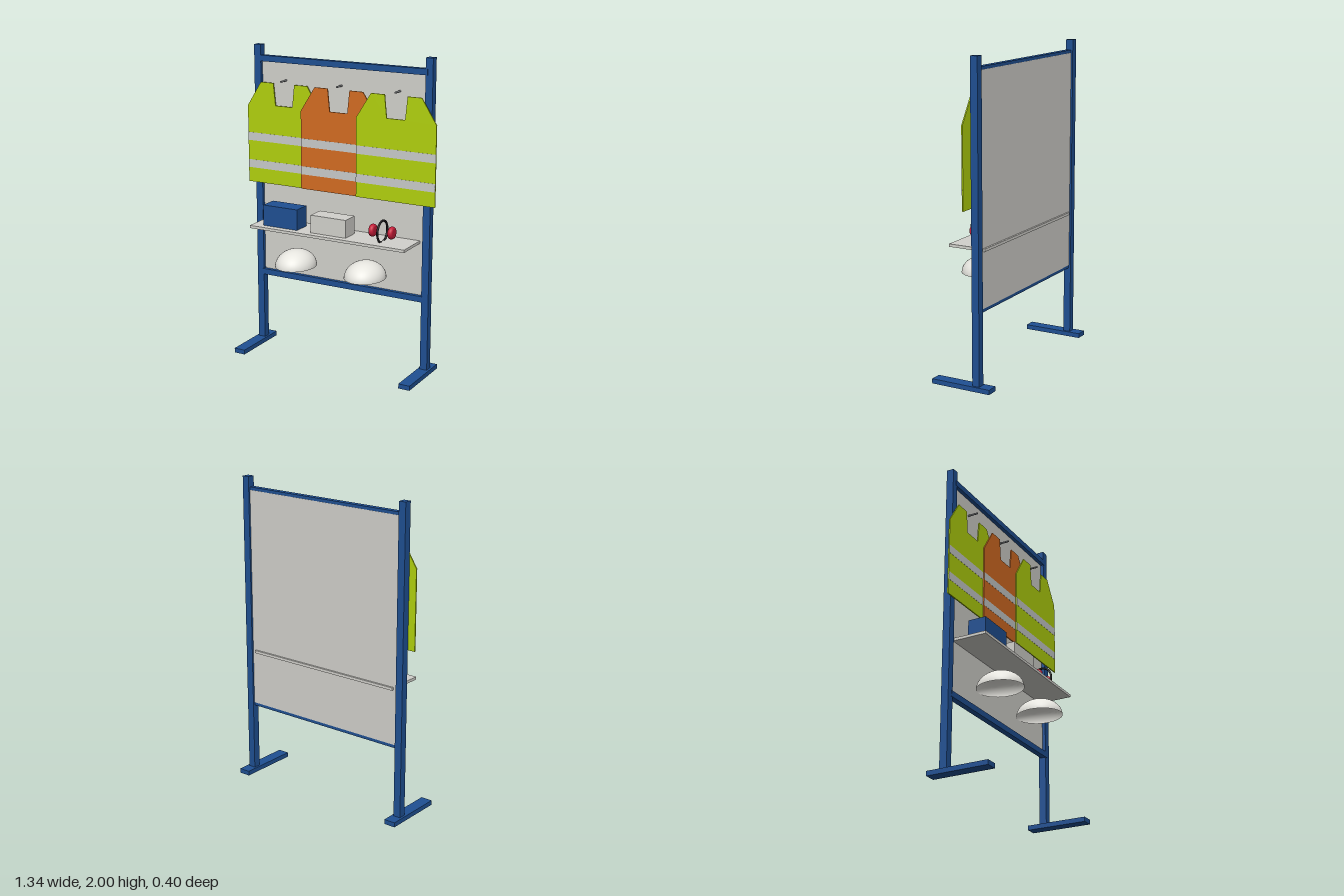
import * as THREE from 'three';

function material(name, color, side = THREE.FrontSide) {
  const m = new THREE.MeshStandardMaterial({ color, side });
  m.name = name;
  return m;
}

export function createModel() {
  const root = new THREE.Group();
  root.name = 'safetyStation';

  const blue = material('frame blue', 0x1f5093);
  const grey = material('panel grey', 0xd2d1cc);
  const white = material('helmet white', 0xe8e7e1, THREE.DoubleSide);
  const lime = material('vest lime', 0xb2d20e);
  const orange = material('vest orange', 0xd46c22);
  const silver = material('reflective silver', 0xc9cbca);
  const metal = material('peg metal', 0x8c8f92);
  const red = material('ear cup red', 0xc41c38);
  const black = material('headband black', 0x18181a);

  const add = (name, geometry, mat, x = 0, y = 0, z = 0, parent = root) => {
    const mesh = new THREE.Mesh(geometry, mat);
    mesh.name = name;
    mesh.position.set(x, y, z);
    parent.add(mesh);
    return mesh;
  };
  const box = (name, mat, w, h, d, x, y, z, parent) =>
    add(name, new THREE.BoxGeometry(w, h, d), mat, x, y, z, parent);

  // Frame: posts on long feet, joined by two rails
  for (const [label, s] of [['left', 1], ['right', -1]]) {
    box(label + 'Post', blue, 0.048, 2, 0.048, s * 0.6, 1, -0.1);
    box(label + 'Foot', blue, 0.076, 0.03, 0.4, s * 0.6, 0.015, 0);
  }
  box('topRail', blue, 1.18, 0.038, 0.038, 0, 1.915, -0.092);
  box('bottomRail', blue, 1.18, 0.038, 0.038, 0, 0.494, -0.092);

  // Back panel and the shelf that passes through it
  box('backPanel', grey, 1.16, 1.42, 0.015, 0, 1.205, -0.105);
  box('shelf', grey, 1.1, 0.018, 0.25, 0, 0.856, 0);

  // Vests hung in overlapping layers, each with its peg
  const half = [[0.062, 1.62], [0.077, 1.764], [0.17, 1.764], [0.27, 1.607], [0.27, 1.104]];
  const outline = [...half, ...half.map(([x, y]) => [-x, y]).reverse()];
  const vestShape = new THREE.Shape(outline.map(([x, y]) => new THREE.Vector2(x, y)));
  const vestDepth = 0.008;
  const vestGeometry = new THREE.ExtrudeGeometry(vestShape, { depth: vestDepth, bevelEnabled: false });
  vestGeometry.translate(0, 0, -vestDepth / 2);
  [['right', lime], ['middle', orange], ['left', lime]].forEach(([label, mat], i) => {
    const vest = new THREE.Group();
    vest.name = label + 'Vest';
    vest.position.set((i - 1) * 0.4, 0, -0.067 + i * 0.01);
    root.add(vest);
    add('vestBody', vestGeometry, mat, 0, 0, 0, vest);
    for (const y of [1.405, 1.225])
      box('reflectiveStripe', silver, 0.54, 0.053, 0.001, 0, y, vestDepth / 2 + 0.0006, vest);
    const peg = add(label + 'Peg', new THREE.CylinderGeometry(0.006, 0.006, 0.07, 12),
      metal, (i - 1) * 0.4, 1.783, -0.066);
    peg.rotation.x = Math.PI / 2;
  });

  // Boxes on the shelf
  box('blueCase', blue, 0.25, 0.135, 0.12, -0.35, 0.9325, 0.02);
  box('paleCase', grey, 0.25, 0.115, 0.12, 0, 0.9225, 0.02);

  // Ear defenders: a round band between two soft-edged cups
  const earDefenders = new THREE.Group();
  earDefenders.name = 'earDefenders';
  earDefenders.position.set(0.35, 0.926, 0.02);
  root.add(earDefenders);
  const band = add('headband', new THREE.TorusGeometry(0.068, 0.007, 10, 40), black, 0, 0, 0, earDefenders);
  band.rotation.y = Math.PI / 2;
  const profile = [new THREE.Vector2(0, -0.0175)];
  for (let i = 0; i <= 10; i++) {
    const a = -Math.PI / 2 + (i / 10) * Math.PI;
    profile.push(new THREE.Vector2(0.026 + 0.014 * Math.cos(a), 0.0175 * Math.sin(a)));
  }
  profile.push(new THREE.Vector2(0, 0.0175));
  const cupGeometry = new THREE.LatheGeometry(profile, 28);
  for (const s of [-1, 1]) {
    const cup = add(s > 0 ? 'leftEarCup' : 'rightEarCup', cupGeometry, red, s * 0.065, 0, 0, earDefenders);
    cup.rotation.z = Math.PI / 2;
  }

  // Helmets: open domes below the shelf
  const dome = new THREE.SphereGeometry(1, 36, 14, 0, Math.PI * 2, 0, Math.PI / 2);
  for (const s of [-1, 1]) {
    const helmet = add(s > 0 ? 'leftHelmet' : 'rightHelmet', dome, white, s * 0.25, 0.623, 0.053);
    helmet.scale.set(0.128, 0.107, 0.15);
  }

  return root;
}
